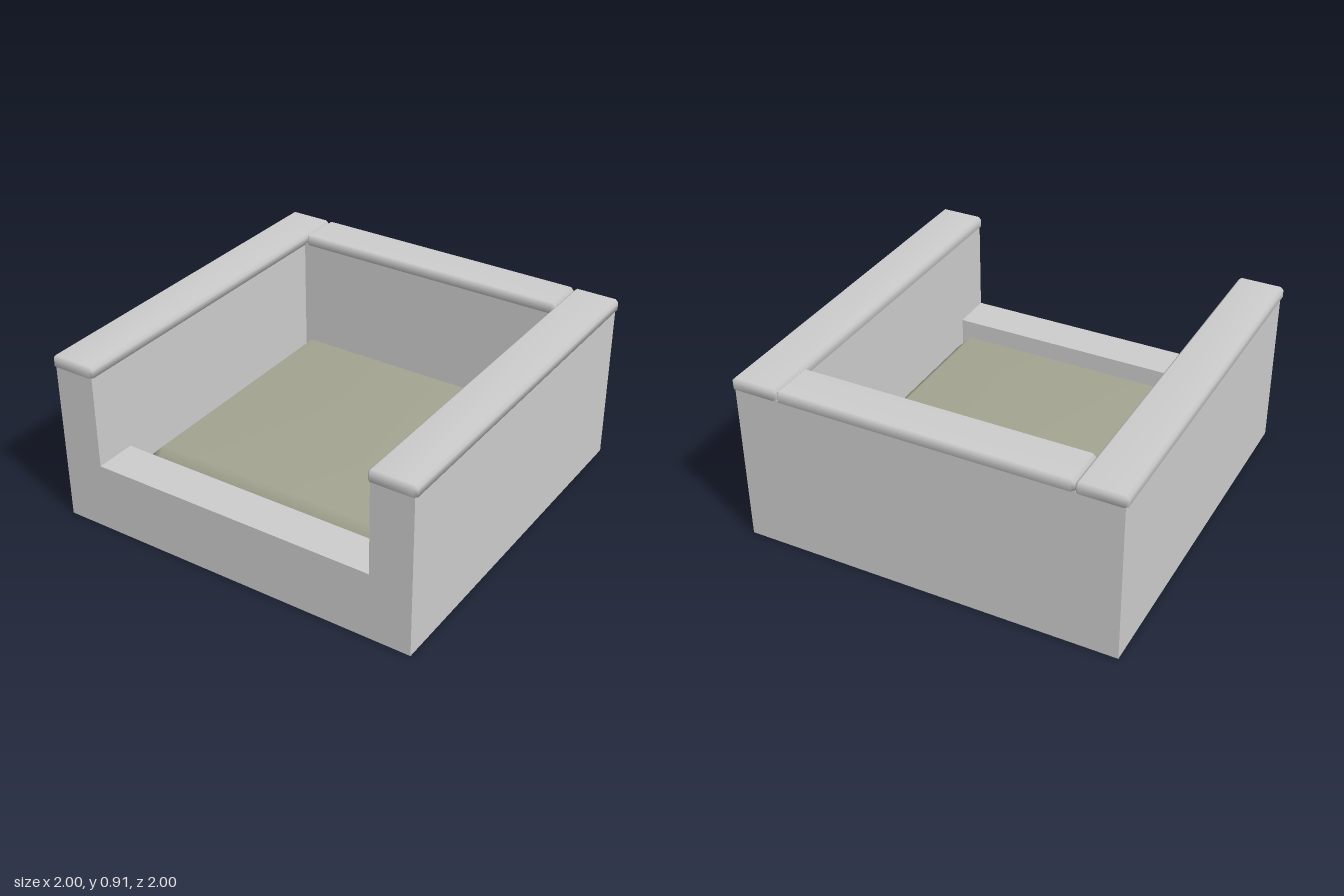
import * as THREE from 'three';
import { ConvexGeometry } from 'three/addons/geometries/ConvexGeometry.js';
import { mergeVertices } from 'three/addons/utils/BufferGeometryUtils.js';

const OUT = 0.988, IN = 0.768;            // outer and inner faces of the walls
const LEDGE = 0.36, WALL = 0.855, FLOOR = 0.15;

const grey = new THREE.MeshStandardMaterial({ color: 0xcccccc });
const tan = new THREE.MeshStandardMaterial({ color: 0xa3a390 });

function add(group, name, geometry, material, x = 0, y = 0, z = 0) {
  const mesh = new THREE.Mesh(geometry, material);
  mesh.name = name;
  mesh.position.set(x, y, z);
  group.add(mesh);
}

// Box standing on y = 0 with softened top and upright edges, smooth shaded
function bevelBox(w, h, d, b) {
  const points = [];
  for (const sx of [-1, 1]) for (const sz of [-1, 1]) {
    const x = sx * w / 2, z = sz * d / 2;
    const xi = x - sx * b, zi = z - sz * b;
    points.push(new THREE.Vector3(xi, h, zi));
    for (const y of [0, h - b]) {
      points.push(new THREE.Vector3(x, y, zi), new THREE.Vector3(xi, y, z));
    }
  }
  let geometry = new ConvexGeometry(points);
  geometry.deleteAttribute('normal');
  geometry = mergeVertices(geometry);
  geometry.computeVertexNormals();
  return geometry;
}

// Plan outline (x, z) raised to a height
function raise(shape, height) {
  const geometry = new THREE.ExtrudeGeometry(shape, { depth: height, bevelEnabled: false });
  return geometry.rotateX(-Math.PI / 2);
}

const outline = (pairs) => pairs.map(([x, z]) => new THREE.Vector2(x, -z));
const square = (r) => outline([[-r, r], [r, r], [r, -r], [-r, -r]]);

export function createModel() {
  const model = new THREE.Group();
  model.name = 'boxArmchair';

  // Lower frame, a square ring around the seat well
  const ring = new THREE.Shape(square(OUT));
  ring.holes.push(new THREE.Path(square(IN)));
  add(model, 'lowerFrame', raise(ring, LEDGE), grey);
  add(model, 'seatBase', new THREE.BoxGeometry(2 * IN, FLOOR, 2 * IN), grey, 0, FLOOR / 2, 0);

  // Arms and back, one wall open at the front
  const walls = new THREE.Shape(outline([
    [-OUT, OUT], [-IN, OUT], [-IN, -IN], [IN, -IN],
    [IN, OUT], [OUT, OUT], [OUT, -OUT], [-OUT, -OUT],
  ]));
  add(model, 'armAndBackWalls', raise(walls, WALL - LEDGE), grey, 0, LEDGE, 0);

  // Caps along the wall tops
  const capHeight = 0.91 - WALL;
  for (const side of [-1, 1]) {
    add(model, side > 0 ? 'leftArmCap' : 'rightArmCap',
      bevelBox(0.243, capHeight, 2, 0.015), grey, side * 0.8785, WALL, 0);
  }
  add(model, 'backCap', bevelBox(1.505, capHeight, 0.24, 0.015), grey, 0, WALL, -0.88);

  // Seat cushion
  add(model, 'seatCushion', bevelBox(1.46, 0.34 - FLOOR, 1.46, 0.08), tan, 0, FLOOR, 0);

  return model;
}
